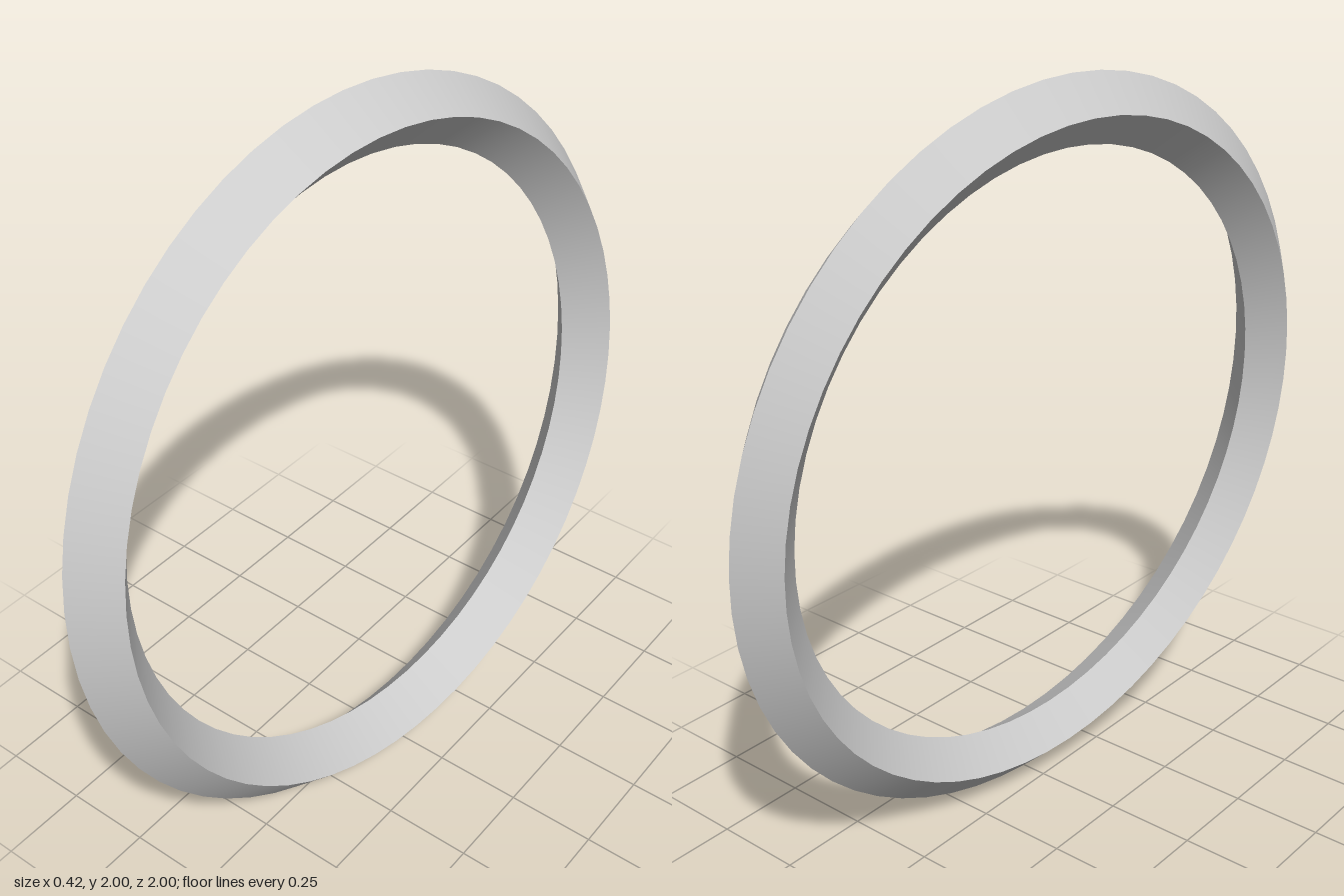
import * as THREE from 'three';

export function createModel() {
  const model = new THREE.Group();
  const ring = new THREE.Group();
  ring.name = 'ring';
  const material = new THREE.MeshStandardMaterial({ color: 0xcccccc });

  // Diamond cross-section as (radius, offset along the axis), counterclockwise
  const section = [[0.913, -0.095], [1.004, -0.012], [0.913, 0.095], [0.823, -0.012]];
  const names = ['outerRightBevel', 'outerLeftBevel', 'innerLeftBevel', 'innerRightBevel'];

  // One band per side: smooth around the ring, sharp between bands
  section.forEach((p, i) => {
    const q = section[(i + 1) % section.length];
    const profile = [new THREE.Vector2(...p), new THREE.Vector2(...q)];
    const band = new THREE.Mesh(new THREE.LatheGeometry(profile, 64), material);
    band.name = names[i];
    ring.add(band);
  });

  // Stand the ring upright with its slight lean
  const axis = new THREE.Vector3(1, 0.084, 0.1).normalize();
  ring.quaternion.setFromUnitVectors(new THREE.Vector3(0, 1, 0), axis);
  ring.position.y = 1;
  model.add(ring);
  return model;
}
